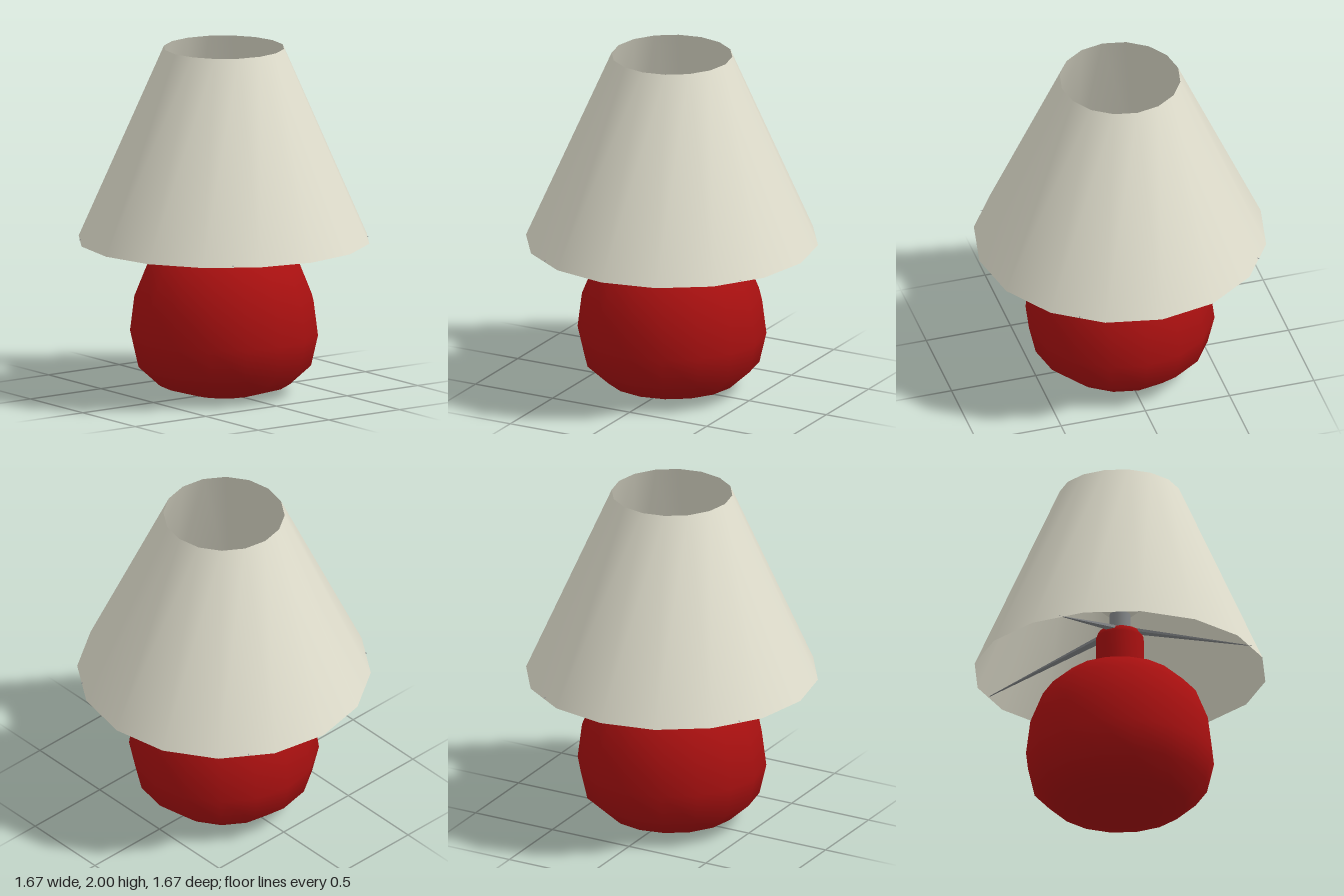
import * as THREE from 'three';

const SIDES = 16;

export function createModel() {
  const material = (name, color, side = THREE.FrontSide) => {
    const m = new THREE.MeshStandardMaterial({ color, side });
    m.name = name;
    return m;
  };
  const red = material('red glaze', 0xa81010);
  const cream = material('cream fabric', 0xe0decd, THREE.DoubleSide);
  const grey = material('grey metal', 0x85888a);

  const lamp = new THREE.Group();
  lamp.name = 'tableLamp';
  const add = (name, geometry, mat) => {
    const mesh = new THREE.Mesh(geometry, mat);
    mesh.name = name;
    lamp.add(mesh);
    return mesh;
  };
  const lathe = (points) =>
    new THREE.LatheGeometry(points.map(([r, y]) => new THREE.Vector2(r, y)), SIDES);

  // Rounded pot base
  add('base', lathe([
    [0, 0], [0.2, 0.003], [0.375, 0.055], [0.5, 0.17], [0.54, 0.345],
    [0.515, 0.545], [0.443, 0.725], [0.312, 0.843], [0.185, 0.885], [0.13, 0.9],
  ]), red);

  // Neck with a softened top edge
  add('neck', lathe([
    [0.137, 0.88], [0.137, 1.09], [0.125, 1.125], [0.1, 1.135], [0, 1.135],
  ]), red);

  // Bulb socket and bulb
  const socket = add('socket', new THREE.CylinderGeometry(0.06, 0.06, 0.16, SIDES), grey);
  socket.position.y = 1.2;
  add('bulb', lathe([
    [0.05, 1.24], [0.08, 1.255], [0.125, 1.295], [0.158, 1.35], [0.17, 1.41],
    [0.161, 1.467], [0.132, 1.52], [0.085, 1.56], [0.04, 1.577], [0, 1.58],
  ]), cream);

  // Open conical shade
  add('shade', new THREE.CylinderGeometry(0.345, 0.835, 1.115, SIDES, 1, true), cream)
    .position.y = 1.4425;

  // Four tapered struts from the neck down to the shade rim
  const inner = new THREE.Vector2(0.1, 1.125);
  const outer = new THREE.Vector2(0.825, 0.892);
  const strut = new THREE.BoxGeometry(1, 1, 1);
  const p = strut.attributes.position;
  for (let i = 0; i < p.count; i++) {
    const t = p.getX(i) + 0.5;
    const taper = 1 - 0.92 * t;
    p.setXYZ(i,
      THREE.MathUtils.lerp(inner.x, outer.x, t),
      THREE.MathUtils.lerp(inner.y, outer.y, t) + p.getY(i) * 0.018 * taper,
      p.getZ(i) * 0.058 * taper);
  }
  strut.computeVertexNormals();
  for (let i = 0; i < 4; i++) {
    add('strut', strut, grey).rotation.y = THREE.MathUtils.degToRad(57 + i * 90);
  }

  return lamp;
}
